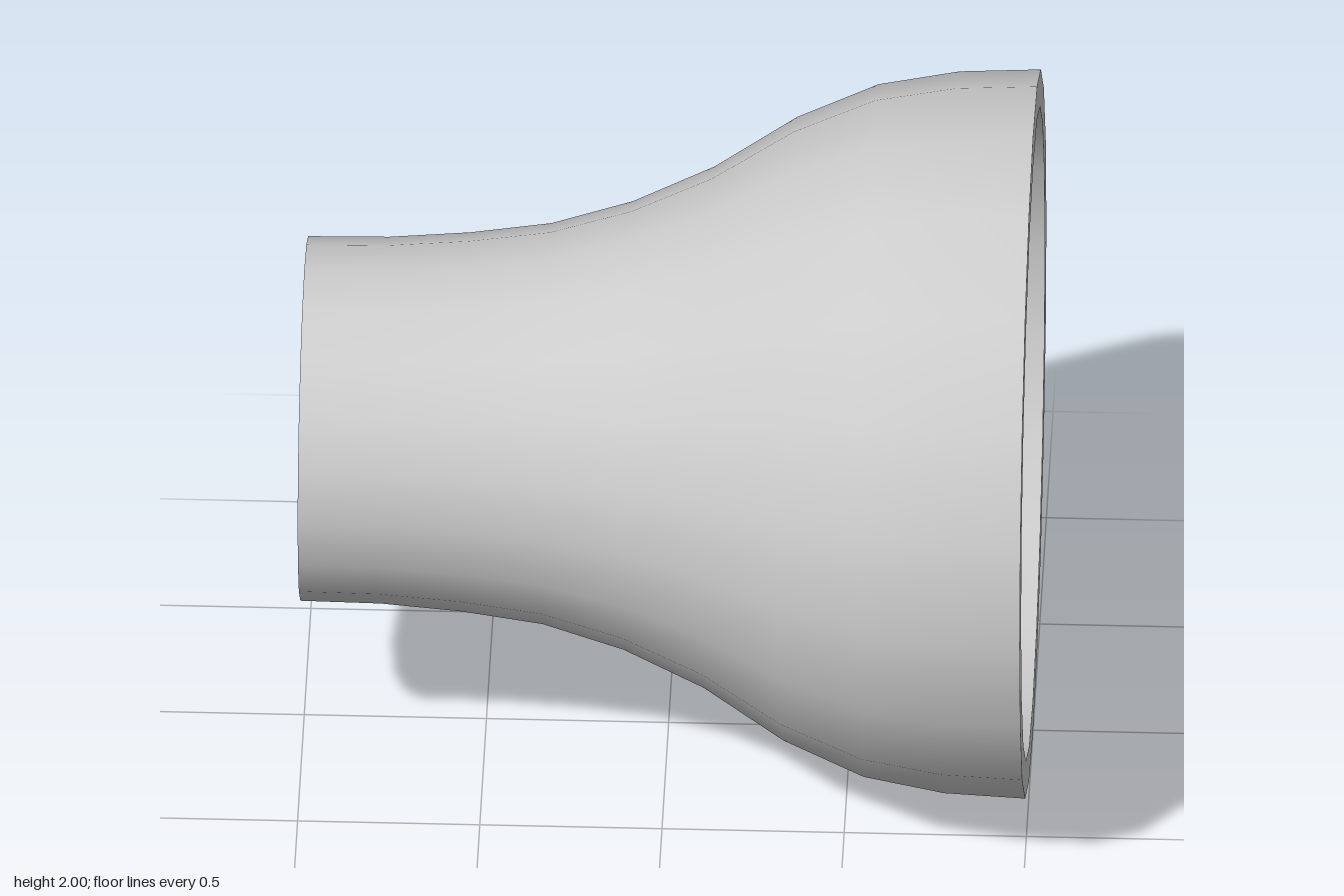
import * as THREE from 'three';

const SIDES = 20;
const WALL = 0.9; // inner radius as a share of the outer radius
// Outer radius at evenly spaced stations from the narrow end to the wide end
const RADII = [0.5, 0.503, 0.52, 0.55, 0.615, 0.715, 0.855, 0.95, 0.99, 1];

export function createModel() {
  const group = new THREE.Group();
  group.name = 'pipeReducer';
  const material = new THREE.MeshStandardMaterial({ color: 0xcccccc });

  const profile = (scale) => RADII.map((r, i) =>
    new THREE.Vector2(r * scale, -1 + (2 * i) / (RADII.length - 1)));
  const outer = profile(1);
  const inner = profile(WALL).reverse();
  const last = RADII.length - 1;

  // Revolve a profile around the x axis, centred at y = 1
  const addLathe = (name, points) => {
    const geometry = new THREE.LatheGeometry(points, SIDES);
    geometry.rotateZ(-Math.PI / 2).translate(0, 1, 0);
    const mesh = new THREE.Mesh(geometry, material);
    mesh.name = name;
    group.add(mesh);
  };

  // Separate surfaces keep the rim edges sharp and the walls smooth
  addLathe('outerWall', outer);
  addLathe('wideRim', [outer[last], inner[0]]);
  addLathe('innerWall', inner);
  addLathe('narrowRim', [inner[last], outer[0]]);

  return group;
}
